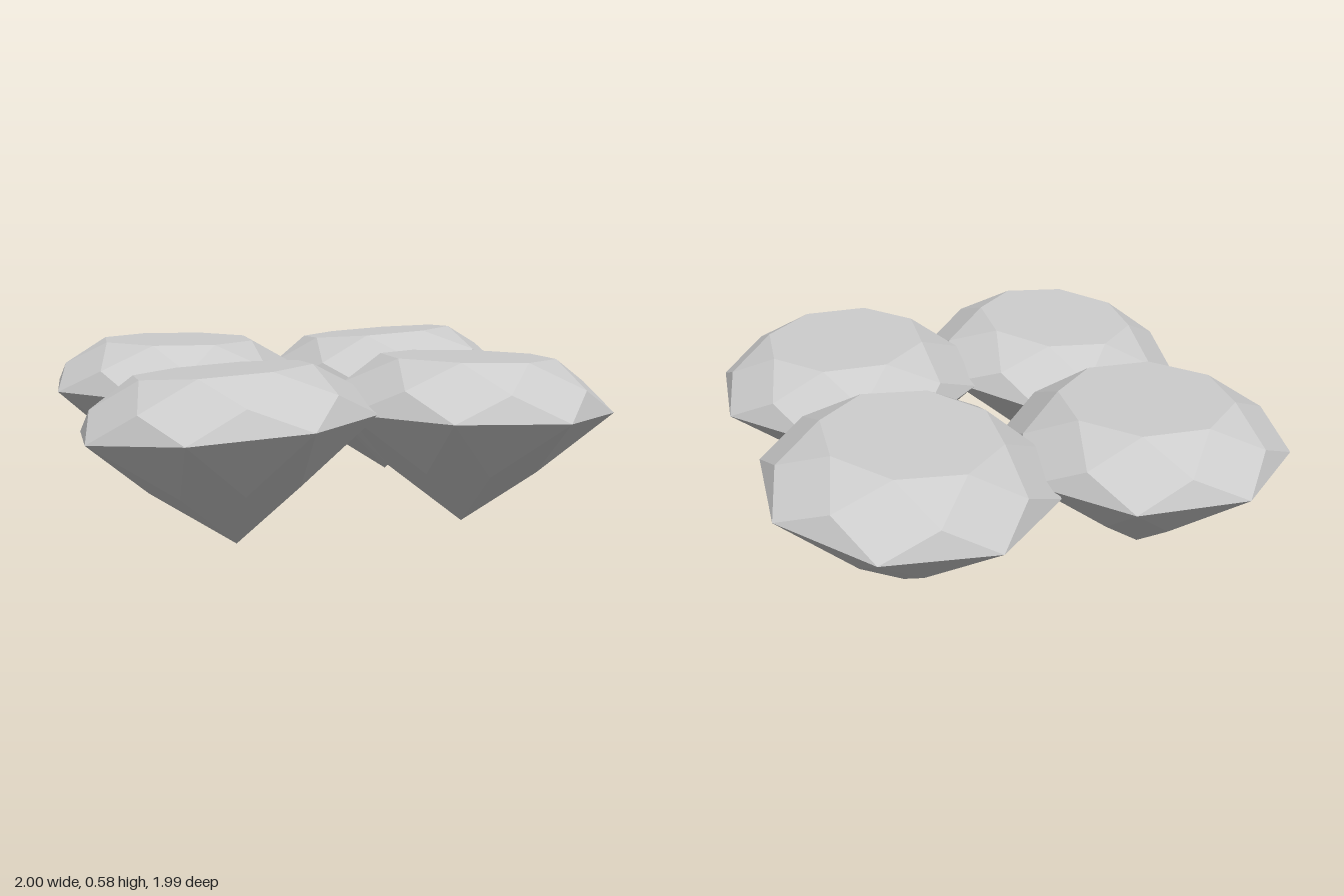
import * as THREE from 'three';

const SIDES = 8;
const RADIUS = 0.463;      // girdle
const TABLE = 0.278;       // flat top
const CROWN = 0.162;       // height above the girdle
const PAVILION = 0.372;    // depth below the girdle

// Faceted cut stone: rings of points joined by kites and triangles
function gemGeometry() {
  const step = (Math.PI * 2) / SIDES;
  const ring = (r, y, turn) => (i) =>
    new THREE.Vector3(r * Math.cos((i + turn) * step), y, r * Math.sin((i + turn) * step));
  const flat = Math.cos(step / 2); // keeps the kites planar
  const table = ring(TABLE, CROWN, 0);
  const star = ring((RADIUS + TABLE) / 2 / flat, CROWN / 2, 0.5);
  const girdle = ring(RADIUS, 0, 0);
  const lower = ring(RADIUS / 2 / flat, -PAVILION / 2, 0.5);
  const top = new THREE.Vector3(0, CROWN, 0);
  const tip = new THREE.Vector3(0, -PAVILION, 0);

  const points = [];
  for (let i = 0; i < SIDES; i++) {
    points.push(
      top, table(i + 1), table(i),                 // table
      table(i), table(i + 1), star(i),             // star facet
      table(i), star(i), girdle(i),                // crown kite
      table(i), girdle(i), star(i - 1),
      star(i), girdle(i + 1), girdle(i),           // upper girdle facet
      girdle(i), girdle(i + 1), lower(i),          // lower girdle facet
      girdle(i), lower(i), tip,                    // pavilion kite
      girdle(i), tip, lower(i - 1)
    );
  }
  const geometry = new THREE.BufferGeometry().setFromPoints(points);
  geometry.computeVertexNormals();
  return geometry;
}

export function createModel() {
  const group = new THREE.Group();
  group.name = 'gemCluster';
  const material = new THREE.MeshStandardMaterial({ color: 0xcccccc, flatShading: true });
  const geometry = gemGeometry();

  // Four stones in a ring, each tilted a little differently
  const gems = [
    { name: 'frontGem', at: [0.013, 0.372, 0.555], turn: 25.3, tiltX: 0, tiltZ: 0.087 },
    { name: 'backGem', at: [-0.017, 0.397, -0.565], turn: 25.5, tiltX: 0, tiltZ: 0.087 },
    { name: 'leftGem', at: [0.56, 0.387, -0.005], turn: 27.3, tiltX: -0.04, tiltZ: 0 },
    { name: 'rightGem', at: [-0.56, 0.389, -0.005], turn: 27.3, tiltX: -0.01, tiltZ: 0 },
  ];
  for (const { name, at, turn, tiltX, tiltZ } of gems) {
    const gem = new THREE.Mesh(geometry, material);
    gem.name = name;
    gem.position.set(...at);
    gem.rotation.set(tiltX, -THREE.MathUtils.degToRad(turn), tiltZ, 'XZY');
    group.add(gem);
  }
  return group;
}
